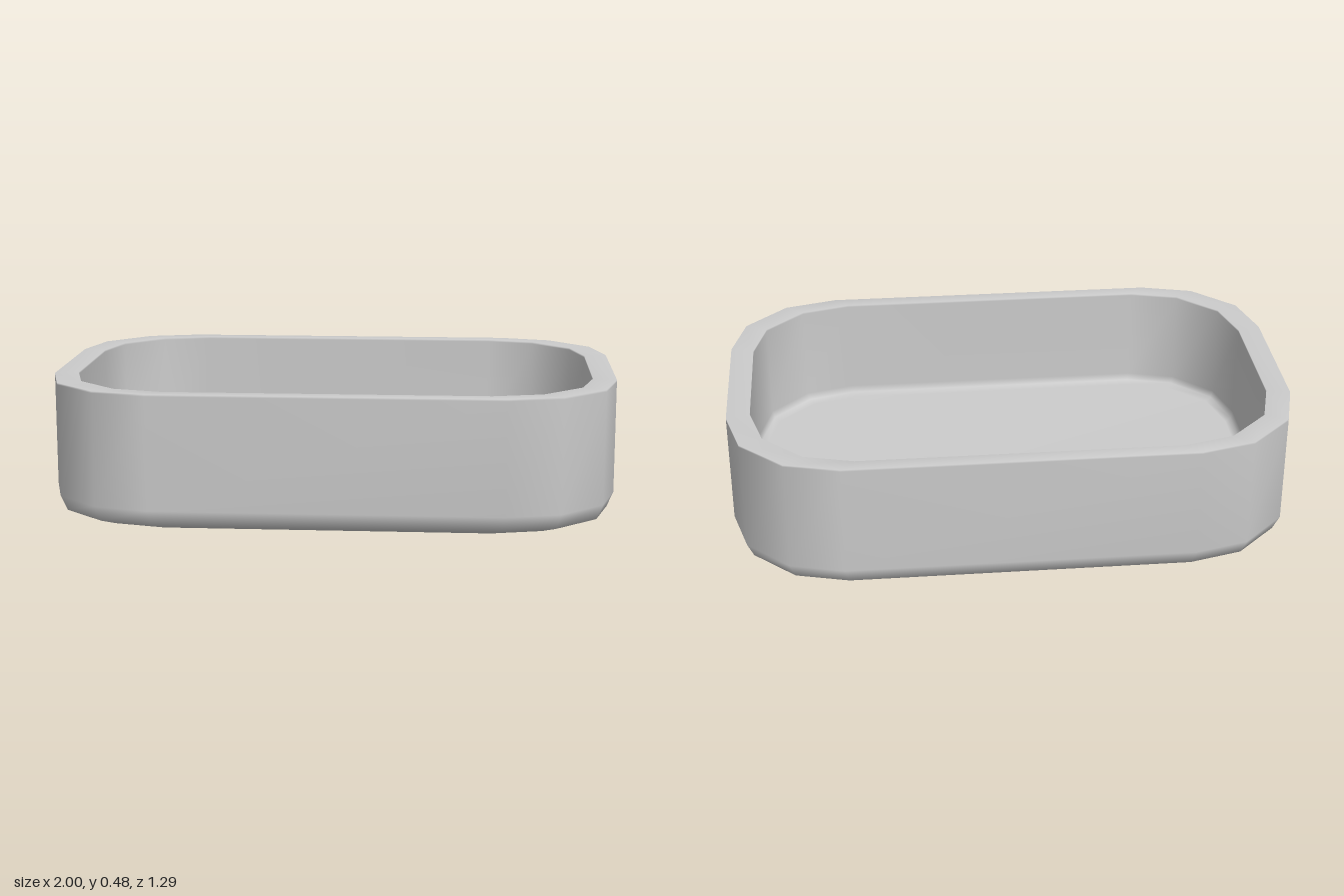
import * as THREE from 'three';

const HALF_DEPTH = 0.645;

// Rounded-rectangle outline, one corner mirrored into four (runs from +x towards +z)
function makeOutline() {
  const corner = [[1, 0.26], [0.95, 0.45], [0.8, 0.595], [0.61, HALF_DEPTH]];
  const reversed = [...corner].reverse();
  return [
    ...corner,
    ...reversed.map(([x, z]) => [-x, z]),
    ...corner.map(([x, z]) => [-x, -z]),
    ...reversed.map(([x, z]) => [x, -z]),
  ];
}

// Skin the outline through a list of rings [scale, inset, height]
function loft(outline, rings) {
  const n = outline.length, positions = [], index = [];
  for (const [scale, inset, y] of rings) {
    const sx = scale - inset, sz = scale - inset / HALF_DEPTH;
    for (const [x, z] of outline) positions.push(x * sx, y, z * (scale ? sz : 0));
  }
  for (let i = 0; i < rings.length - 1; i++) {
    for (let j = 0; j < n; j++) {
      const a = i * n + j, b = i * n + (j + 1) % n;
      index.push(a, a + n, b, b, a + n, b + n);
    }
  }
  const geometry = new THREE.BufferGeometry();
  geometry.setAttribute('position', new THREE.Float32BufferAttribute(positions, 3));
  geometry.setIndex(index);
  geometry.computeVertexNormals();
  return geometry;
}

export function createModel() {
  const group = new THREE.Group();
  group.name = 'tray';
  const inner = 0.918;
  const rings = [
    [0, 0, 0],              // underside centre
    [1, 0.077, 0],          // underside edge
    [1, 0.022, 0.022],      // bottom bevel
    [1, 0, 0.077],
    [1, 0, 0.475],          // outer wall
    [1, 0, 0.482],          // rim, outer edge
    [inner, 0, 0.482],      // rim, inner edge
    [inner, 0, 0.475],
    [inner, 0, 0.125],      // inner wall
    [inner, 0.008, 0.1],    // inner fillet
    [inner, 0.03, 0.09],
    [0, 0, 0.09],           // floor centre
  ];
  const material = new THREE.MeshStandardMaterial({ color: 0xcccccc });
  const body = new THREE.Mesh(loft(makeOutline(), rings), material);
  body.name = 'trayBody';
  group.add(body);
  return group;
}
